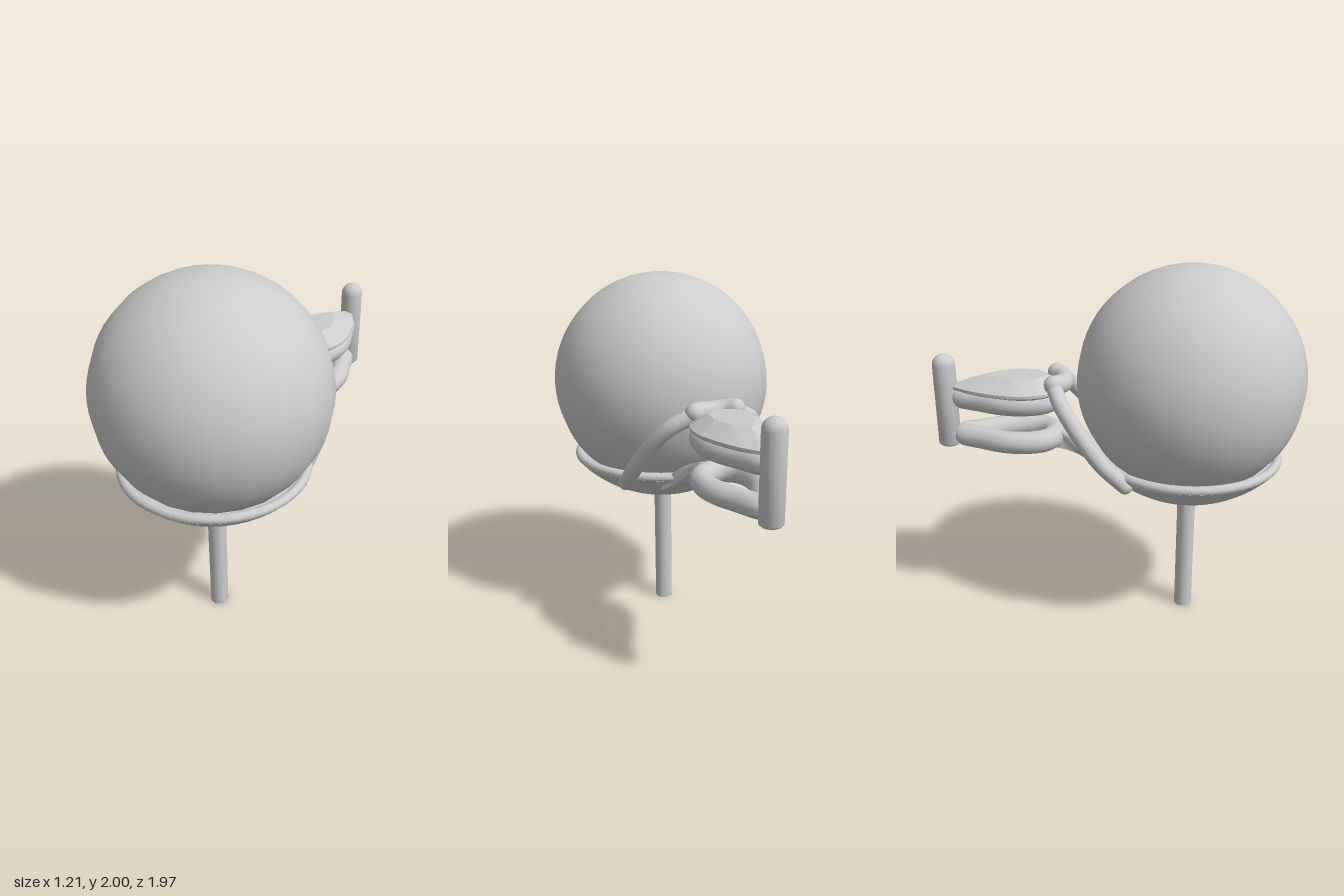
import * as THREE from 'three';
import { ConvexGeometry } from 'three/addons/geometries/ConvexGeometry.js';
import { toCreasedNormals } from 'three/addons/utils/BufferGeometryUtils.js';

const smooth = new THREE.MeshStandardMaterial({ color: 0xcccccc });
const faceted = new THREE.MeshStandardMaterial({ color: 0xcccccc, flatShading: true });
const twoSided = new THREE.MeshStandardMaterial({ color: 0xcccccc, side: THREE.DoubleSide });
const PEARL_Y = 1.395, PEARL_Z = 0.385;

const vec = (p) => new THREE.Vector3(...p);

// half outline [x, z] of a teardrop, tip first, mirrored into a closed loop
function teardrop(half, y) {
  const back = half.slice(1, -1).reverse().map(([x, z]) => [-x, z]);
  return [...half, ...back].map(([x, z]) => new THREE.Vector3(x, y, z));
}

export function createModel() {
  const group = new THREE.Group();
  const add = (name, geometry, material = smooth, x = 0, y = 0, z = 0) => {
    const mesh = new THREE.Mesh(geometry, material);
    mesh.name = name;
    mesh.position.set(x, y, z);
    group.add(mesh);
    return mesh;
  };
  const tube = (name, points, radius, closed = false) => {
    const curve = new THREE.CatmullRomCurve3(points, closed);
    add(name, new THREE.TubeGeometry(curve, 48, radius, 16, closed));
    if (closed) return;
    [points[0], points[points.length - 1]].forEach((p) =>
      add(name + 'End', new THREE.SphereGeometry(radius, 16, 12), smooth, p.x, p.y, p.z));
  };

  // pearl, its cup and the ear post
  add('pearl', new THREE.SphereGeometry(0.605, 22, 32), smooth, 0, PEARL_Y, PEARL_Z);

  const cupProfile = [];
  const cupR = 0.665, cupAngle = Math.acos(0.435 / cupR);
  for (let i = 0; i <= 12; i++) {
    const a = (cupAngle * i) / 12;
    cupProfile.push(new THREE.Vector2(cupR * Math.sin(a), PEARL_Y - cupR * Math.cos(a)));
  }
  cupProfile.push(new THREE.Vector2(0.4, 0.96));
  const cup = toCreasedNormals(new THREE.LatheGeometry(cupProfile, 48), 0.8);
  add('cup', cup, twoSided, 0, 0, PEARL_Z);

  const rim = new THREE.TorusGeometry(0.483, 0.025, 12, 48).rotateX(Math.PI / 2);
  add('cupRim', rim, smooth, 0, 0.975, PEARL_Z);
  add('earPost', new THREE.CylinderGeometry(0.05, 0.05, 0.76, 24), smooth, 0, 0.38, PEARL_Z);

  // two stacked teardrop loops
  const loopHalf = [[0, -0.85], [0.065, -0.73], [0.118, -0.61], [0.132, -0.51], [0.11, -0.41], [0.06, -0.36], [0, -0.345]];
  tube('lowerLoop', teardrop(loopHalf, 1.08), 0.06, true);
  tube('upperLoop', teardrop(loopHalf, 1.295), 0.06, true);

  // pear-cut gem: girdle, table and point below
  const gemHalf = [[0, -0.9], [0.08, -0.82], [0.15, -0.68], [0.19, -0.53], [0.17, -0.4], [0.1, -0.315], [0, -0.285]];
  const outline = new THREE.CatmullRomCurve3(teardrop(gemHalf, 0), true).getSpacedPoints(32).slice(0, 32);
  const gemPoints = [new THREE.Vector3(0, 1.19, -0.5)];
  outline.forEach((p, i) => {
    gemPoints.push(new THREE.Vector3(p.x, 1.345, p.z), new THREE.Vector3(p.x, 1.36, p.z));
    if (i % 4 === 0) gemPoints.push(new THREE.Vector3(p.x * 0.55, 1.42, -0.5 + (p.z + 0.5) * 0.55));
  });
  add('gem', new ConvexGeometry(gemPoints), faceted);

  // upright prong at the tip, domed on top
  const prong = [[0, 1.02], [0.05, 1.02], [0.06, 1.03], [0.06, 1.47]].map((p) => new THREE.Vector2(...p));
  for (let i = 1; i <= 8; i++) {
    const a = (i / 8) * Math.PI / 2;
    prong.push(new THREE.Vector2(0.06 * Math.cos(a), 1.47 + 0.06 * Math.sin(a)));
  }
  add('tipProng', toCreasedNormals(new THREE.LatheGeometry(prong, 24), 0.8), smooth, 0, 0, -0.925);

  // curved arms from the cup to the gem
  for (const s of [-1, 1]) {
    const path = [[0.35, 0.935, 0.04], [0.345, 1.05, -0.08], [0.305, 1.19, -0.19],
      [0.225, 1.32, -0.285], [0.12, 1.38, -0.33]];
    tube(s > 0 ? 'leftArm' : 'rightArm', path.map(([x, y, z]) => new THREE.Vector3(s * x, y, z)), 0.042);
  }
  tube('claw', [[-0.112, 1.398, -0.335], [-0.07, 1.39, -0.3], [0, 1.385, -0.287],
    [0.07, 1.39, -0.3], [0.112, 1.398, -0.335]].map(vec), 0.05);

  // flared strut joining the lower loop to the cup
  const side = new THREE.Shape();
  side.moveTo(0.04, 0.89);
  side.quadraticCurveTo(0.18, 1.0, 0.33, 1.02);
  side.lineTo(0.33, 1.12);
  side.quadraticCurveTo(0.18, 1.11, 0.06, 0.96);
  const strut = new THREE.ExtrudeGeometry(side, { depth: 1, bevelEnabled: false, curveSegments: 10 });
  strut.translate(0, 0, -0.5).rotateY(Math.PI / 2);
  const pos = strut.attributes.position;
  for (let i = 0; i < pos.count; i++) {
    const t = (pos.getZ(i) + 0.33) / 0.29;
    pos.setX(i, pos.getX(i) * (0.11 + 0.25 * t * t));
  }
  strut.computeVertexNormals();
  add('strut', toCreasedNormals(strut, 0.7), twoSided);

  return group;
}
